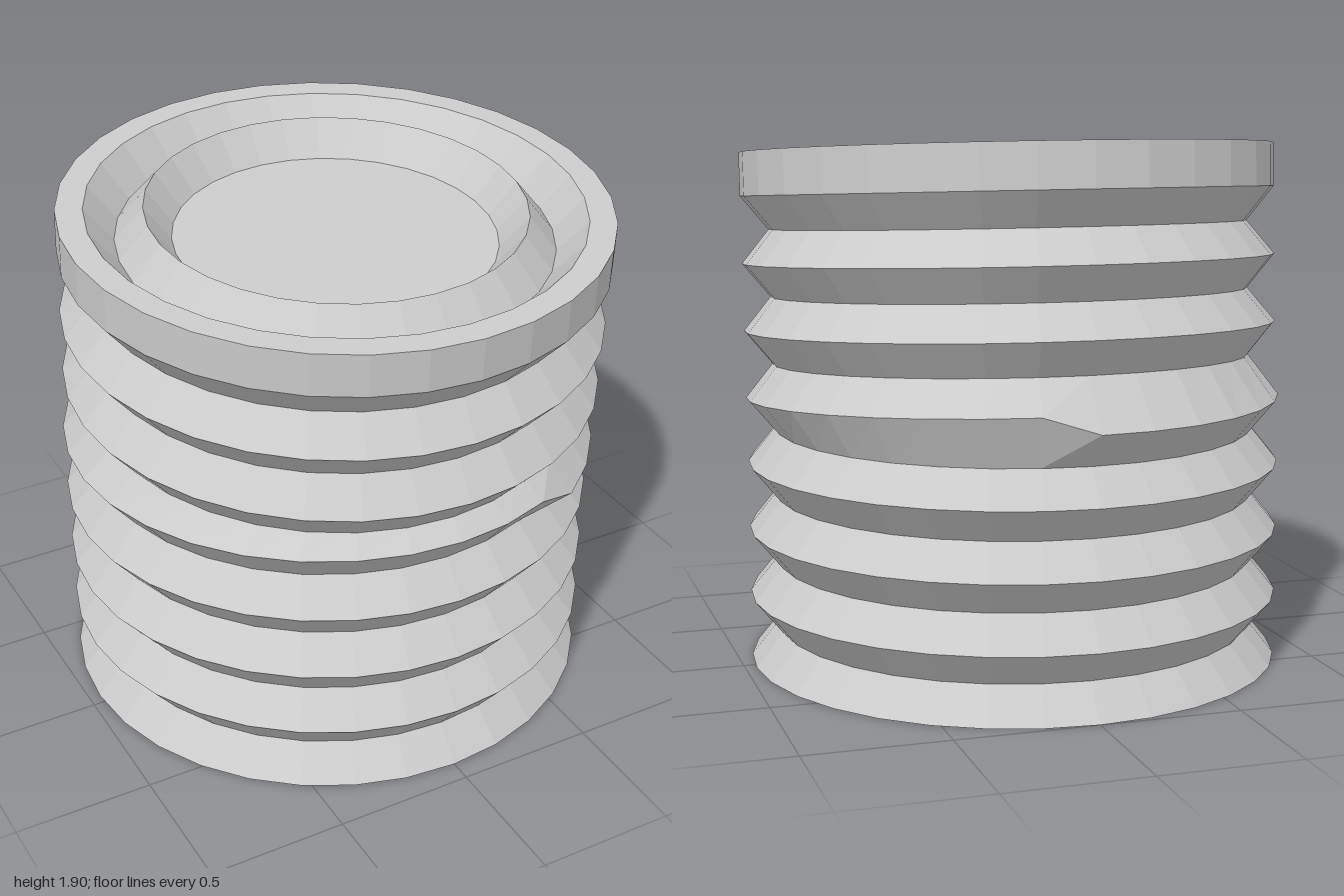
import * as THREE from 'three';

const SIDES = 32;
const WIDE = 0.96, NARROW = 0.862, PLEAT = 0.1205;
const TILT = 0.0653;                                  // forward lean of the upper half
const LOWER = new THREE.Vector3(0, 0, -0.04);         // foot of the straight half
const UPPER = new THREE.Vector3(0, 0.961, -0.0155);   // foot of the leaning half

// One ring of points; angle 0 is the front, growing towards +x
const ring = (r, h, origin, tilt) => Array.from({ length: SIDES }, (_, i) => {
  const a = (i / SIDES) * Math.PI * 2;
  return new THREE.Vector3(Math.sin(a) * r, h, Math.cos(a) * r)
    .applyAxisAngle(new THREE.Vector3(1, 0, 0), tilt).add(origin);
});
const straight = (r, h) => ring(r, h, LOWER, 0);
const leaning = (r, h) => ring(r, h, UPPER, TILT);

// Skin a stack of rings, leaving out collapsed triangles
function loft(name, rings) {
  const points = [];
  const triangle = (...t) => {
    const collapsed = t.some((p, i) => p.distanceTo(t[(i + 1) % 3]) < 1e-6);
    if (!collapsed) points.push(...t);
  };
  for (let k = 0; k + 1 < rings.length; k++) {
    const lo = rings[k], up = rings[k + 1];
    for (let i = 0; i < SIDES; i++) {
      const j = (i + 1) % SIDES;
      triangle(lo[i], lo[j], up[j]);
      triangle(lo[i], up[j], up[i]);
    }
  }
  const geometry = new THREE.BufferGeometry().setFromPoints(points);
  geometry.computeVertexNormals();
  const mesh = new THREE.Mesh(geometry,
    new THREE.MeshStandardMaterial({ color: 0xcccccc, flatShading: true }));
  mesh.name = name;
  return mesh;
}

export function createModel() {
  const group = new THREE.Group();
  group.name = 'bentBellows';

  // The middle fold leans on the +x side only and stays level elsewhere
  const level = straight(WIDE, PLEAT * 8), leaned = leaning(WIDE, 0);
  const middle = level.map((p, i) => (i >= 3 && i <= 15 ? leaned[i] : p));

  // Straight pleats standing on a flat base
  const lower = [straight(0, 0)];
  for (let k = 0; k < 8; k++) lower.push(straight(k % 2 ? NARROW : WIDE, k * PLEAT));
  group.add(loft('lowerBellows', [...lower, middle]));

  // Leaning pleats
  const upper = [middle];
  for (let k = 1; k < 6; k++) upper.push(leaning(k % 2 ? NARROW : WIDE, k * PLEAT));
  const rimFoot = leaning(WIDE, PLEAT * 6);
  group.add(loft('upperBellows', [...upper, rimFoot]));

  // Upright band with a flat lip
  const top = 0.878, trough = top - 0.12;
  const lip = leaning(0.865, top);
  group.add(loft('rim', [rimFoot, leaning(WIDE, top), lip]));

  // Sunken lid: groove, ridge and flat floor
  group.add(loft('lid', [lip, leaning(0.762, trough), leaning(0.662, top),
    leaning(0.566, trough), leaning(0, trough)]));
  return group;
}
